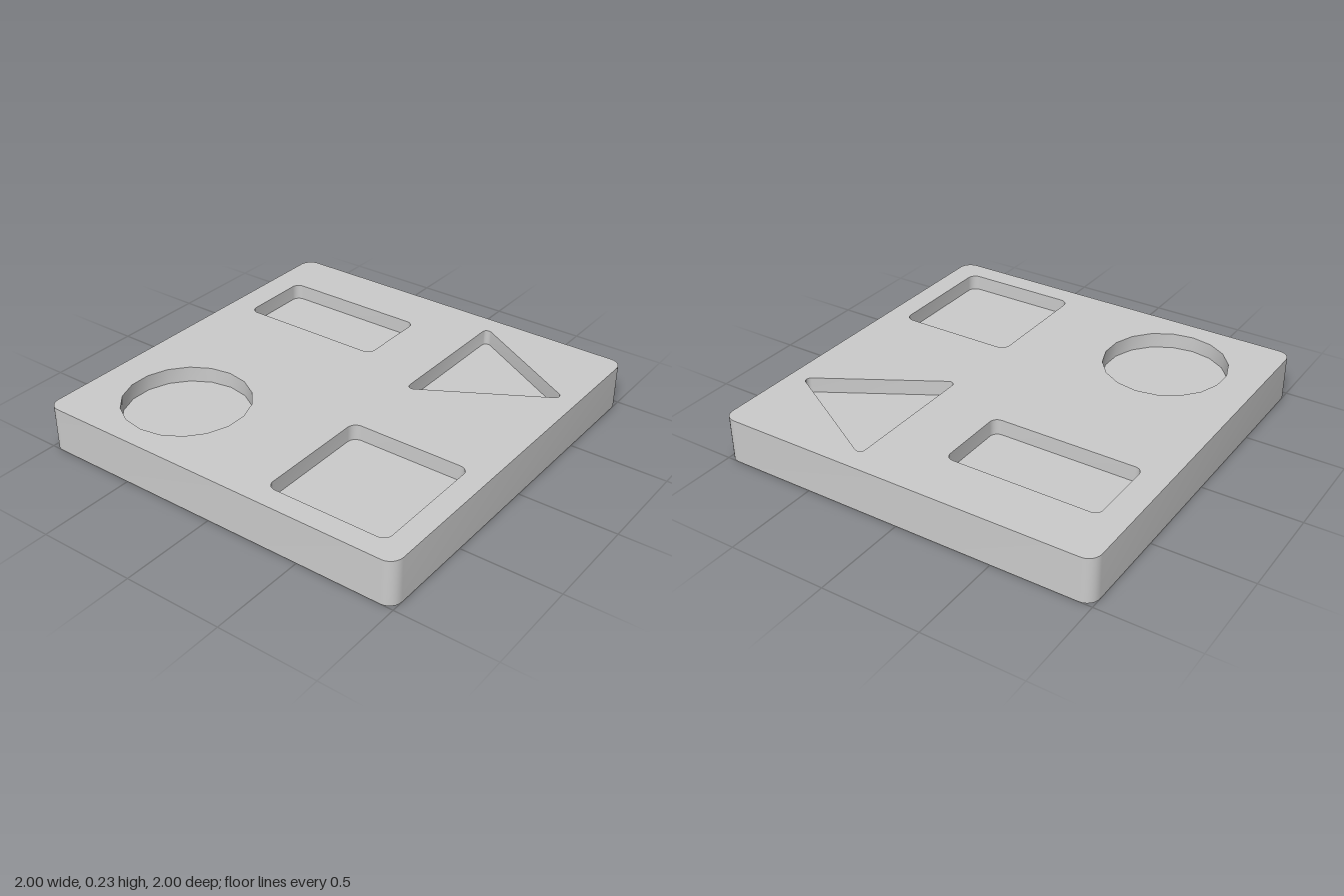
import * as THREE from 'three';
import { toCreasedNormals } from 'three/addons/utils/BufferGeometryUtils.js';

const HEIGHT = 0.23, DEPTH = 0.08;
const material = new THREE.MeshStandardMaterial({ color: 0xcccccc });

// Outlines are counter-clockwise in plan, with plan y = -z.
function rounded(centres, radius, startAngle, segments = 6) {
  const step = (Math.PI * 2) / centres.length;
  return centres.flatMap(([cx, cy], i) =>
    Array.from({ length: segments + 1 }, (_, k) => {
      const a = startAngle + step * (i + k / segments);
      return new THREE.Vector2(cx + radius * Math.cos(a), cy + radius * Math.sin(a));
    }));
}

function roundedRect(cx, cz, width, length, r) {
  const w = width / 2 - r, l = length / 2 - r;
  return rounded([[cx + w, -cz + l], [cx - w, -cz + l], [cx - w, -cz - l], [cx + w, -cz - l]], r, 0);
}

// Equilateral triangle with its tip towards the front
function roundedTriangle(cx, backZ, w, r) {
  const y = -backZ - r;
  return rounded([[cx + w, y], [cx - w, y], [cx, y - w * Math.sqrt(3)]], r, -Math.PI / 6);
}

function circle(cx, cz, r, sides) {
  return Array.from({ length: sides }, (_, i) => {
    const a = (i / sides) * Math.PI * 2;
    return new THREE.Vector2(cx + r * Math.cos(a), -cz + r * Math.sin(a));
  });
}

// Horizontal face at height y
function face(name, outline, y, holes = [], down = false) {
  const shape = new THREE.Shape(outline);
  shape.holes = holes.map((h) => new THREE.Path(h));
  const geo = new THREE.ShapeGeometry(shape).rotateX(-Math.PI / 2);
  if (down) geo.scale(1, -1, 1).setIndex([...geo.index.array].reverse());
  geo.translate(0, y, 0);
  geo.computeVertexNormals();
  const mesh = new THREE.Mesh(geo, material);
  mesh.name = name;
  return mesh;
}

// Vertical band round an outline; a reversed outline faces inwards
function wall(name, outline, y0, y1) {
  const positions = [];
  outline.forEach((a, i) => {
    const b = outline[(i + 1) % outline.length];
    positions.push(a.x, y0, -a.y, b.x, y0, -b.y, b.x, y1, -b.y);
    positions.push(a.x, y0, -a.y, b.x, y1, -b.y, a.x, y1, -a.y);
  });
  const geo = new THREE.BufferGeometry();
  geo.setAttribute('position', new THREE.Float32BufferAttribute(positions, 3));
  const mesh = new THREE.Mesh(toCreasedNormals(geo, 0.6), material);
  mesh.name = name;
  return mesh;
}

export function createModel() {
  const model = new THREE.Group();
  model.name = 'shapeSorterBoard';

  const outline = roundedRect(0, 0, 2, 2, 0.065);
  const pockets = {
    circlePocket: circle(-0.572, -0.505, 0.315, 18),
    rectanglePocket: roundedRect(0.518, -0.465, 0.395, 0.785, 0.04),
    squarePocket: roundedRect(-0.572, 0.567, 0.63, 0.63, 0.045),
    trianglePocket: roundedTriangle(0.523, 0.266, 0.338, 0.025),
  };

  // Solid board, open on top where the pockets are
  const board = new THREE.Group();
  board.name = 'board';
  board.add(
    face('boardTop', outline, HEIGHT, Object.values(pockets)),
    face('boardBottom', outline, 0, [], true),
    wall('boardSides', outline, 0, HEIGHT),
  );
  model.add(board);

  // Recessed pockets
  for (const [name, points] of Object.entries(pockets)) {
    const pocket = new THREE.Group();
    pocket.name = name;
    pocket.add(
      face(name + 'Floor', points, HEIGHT - DEPTH),
      wall(name + 'Walls', [...points].reverse(), HEIGHT - DEPTH, HEIGHT),
    );
    model.add(pocket);
  }
  return model;
}
